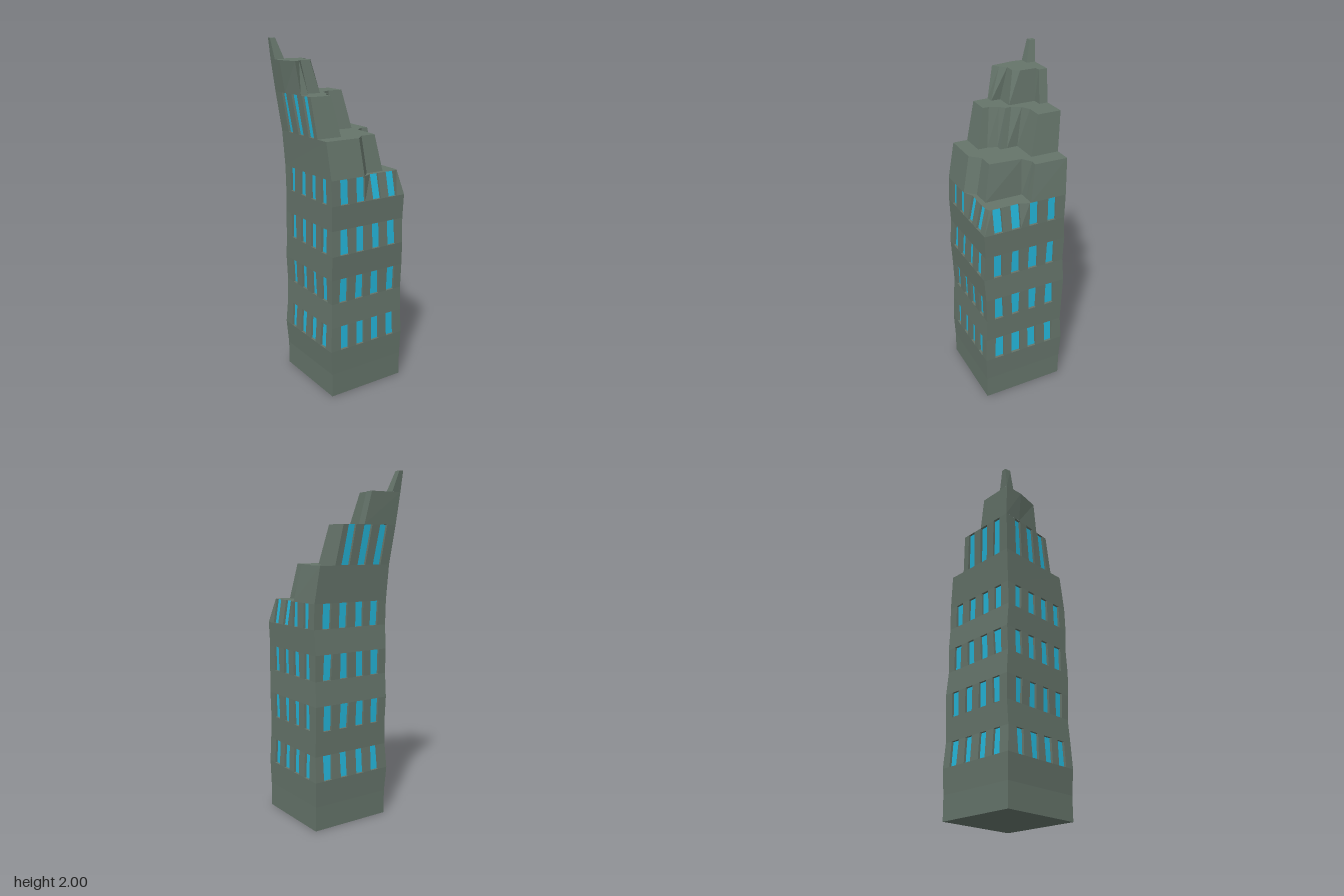
import * as THREE from 'three';

const stone = new THREE.MeshStandardMaterial({ color: 0x65746a, flatShading: true });
stone.name = 'grey green stone';
const glass = new THREE.MeshStandardMaterial({ color: 0x24b4d8, flatShading: true });
glass.name = 'blue glass';

const RECESS = 0.014;

// Small seeded generator for the hand-cut wobble of the windows
let seed = 7;
const wobble = (size) => {
  seed = (seed * 16807) % 2147483647;
  return (seed / 2147483647 - 0.5) * size;
};

const quad = (out, a, b, c, d) => {
  for (const p of [a, b, c, a, c, d]) out.push(p.x, p.y, p.z);
};

const makeMesh = (name, positions, material) => {
  const geometry = new THREE.BufferGeometry();
  geometry.setAttribute('position', new THREE.Float32BufferAttribute(positions, 3));
  geometry.computeVertexNormals();
  const mesh = new THREE.Mesh(geometry, material);
  mesh.name = name;
  return mesh;
};

// Ring of [x, z] points, ordered front, right, back, left, lifted to height y
const ring = (y, points) => points.map(([x, z]) => new THREE.Vector3(x, y, z));

// Wall between two rings; edges listed in windowEdges become recessed windows
function band(walls, panes, low, high, windowEdges = []) {
  low.forEach((a, i) => {
    const j = (i + 1) % low.length;
    const b = low[j], c = high[j], d = high[i];
    if (!windowEdges.includes(i)) return quad(walls, a, b, c, d);
    const inward = new THREE.Vector3(b.z - a.z, 0, a.x - b.x).normalize().multiplyScalar(RECESS);
    const outer = [a, b, c, d];
    const inner = outer.map((p) => p.clone().add(inward));
    quad(panes, ...inner);
    // Sill, jambs and lintel
    outer.forEach((p, k) => {
      const n = (k + 1) % 4;
      quad(walls, p, outer[n], inner[n], inner[k]);
    });
  });
}

// Flat roof or floor over a ring
function cap(walls, points, up = true) {
  const flat = points.map((p) => new THREE.Vector2(p.x, -p.z));
  for (const face of THREE.ShapeUtils.triangulateShape(flat, [])) {
    const order = up ? face : [...face].reverse();
    for (const i of order) walls.push(points[i].x, points[i].y, points[i].z);
  }
}

function createBody(group) {
  const ys = [0, 0.14, 0.285, 0.43, 0.57, 0.715, 0.855, 1.0, 1.14, 1.28];
  const front = [0.28, 0.28, 0.284, 0.28, 0.272, 0.276, 0.284, 0.275, 0.28, 0.275];
  const back = [-0.215, -0.217, -0.225, -0.215, -0.22, -0.225, -0.215, -0.22, -0.21, -0.215];
  const left = [-0.22, -0.22, -0.23, -0.222, -0.216, -0.22, -0.22, -0.218, -0.22, -0.22];
  const right = [0.268, 0.268, 0.272, 0.267, 0.268, 0.27, 0.265, 0.268, 0.272, 0.27];
  const xs = [-0.165, -0.11, -0.058, -0.004, 0.05, 0.105, 0.16, 0.215];
  const zs = [-0.155, -0.105, -0.045, 0.008, 0.062, 0.115, 0.17, 0.222];
  const top = ys.length - 1;

  const rings = ys.map((y, r) => {
    const size = r < 2 || r === top ? 0 : 0.008;
    const frontZ = (x) => (r === top && x > 0.03 ? 0.249 : front[r]);
    const rightX = (z) => (r === top && z > 0.03 ? 0.249 : right[r]);
    const corner = r === top ? [0.245, 0.24] : [right[r], front[r]];
    return ring(y, [
      [left[r], front[r]],
      ...xs.map((x) => [x + wobble(size), frontZ(x)]),
      corner,
      ...[...zs].reverse().map((z) => [rightX(z), z + wobble(size)]),
      [right[r], back[r]],
      ...[...xs].reverse().map((x) => [x + wobble(size), back[r]]),
      [left[r], back[r]],
      ...zs.map((z) => [left[r], z + wobble(size)]),
    ]);
  });

  // Four windows on each of the four sides
  const windowEdges = [];
  for (let side = 0; side < 4; side++) for (const k of [1, 3, 5, 7]) windowEdges.push(side * 9 + k);

  const walls = [], panes = [];
  for (let r = 0; r < top; r++) {
    band(walls, panes, rings[r], rings[r + 1], r >= 2 && r % 2 === 0 ? windowEdges : []);
  }
  cap(walls, rings[0], false);
  cap(walls, rings[top]);
  group.add(makeMesh('mainBody', walls, stone), makeMesh('bodyWindows', panes, glass));
}

function createTier(group, name, y0, y1, low, high, windowEdges) {
  const walls = [], panes = [];
  const bottom = ring(y0, low), top = ring(y1, high);
  band(walls, panes, bottom, top, windowEdges);
  cap(walls, top);
  group.add(makeMesh(name, walls, stone));
  if (panes.length) group.add(makeMesh(name + 'Windows', panes, glass));
}

export function createModel() {
  const group = new THREE.Group();
  group.name = 'steppedTower';
  createBody(group);

  // Setbacks climbing towards the back corner
  createTier(group, 'lowerSetback', 1.28, 1.485,
    [[-0.22, 0.275], [-0.004, 0.275], [0.05, 0.22], [0.16, 0.22], [0.16, 0], [0.215, 0],
      [0.27, 0], [0.27, -0.215], [-0.22, -0.215]],
    [[-0.226, 0.235], [-0.015, 0.235], [0.04, 0.18], [0.13, 0.18], [0.146, -0.005], [0.2, -0.04],
      [0.238, -0.038], [0.243, -0.23], [-0.228, -0.23]]);

  // Middle setback, with three windows on the back and three on the far side
  createTier(group, 'middleSetback', 1.485, 1.705,
    [[-0.226, 0.15], [-0.075, 0.15], [-0.075, 0.095], [-0.058, 0.04], [-0.02, 0.04], [-0.02, 0],
      [-0.02, -0.065], [0.02, -0.065], [0.145, -0.065], [0.145, -0.23],
      [0.105, -0.23], [0.05, -0.23], [-0.004, -0.23], [-0.058, -0.23], [-0.11, -0.23], [-0.165, -0.23],
      [-0.228, -0.23],
      [-0.227, -0.155], [-0.227, -0.105], [-0.227, -0.045], [-0.227, 0.008], [-0.227, 0.062], [-0.226, 0.115]],
    [[-0.237, 0.1], [-0.11, 0.1], [-0.11, 0.065], [-0.087, 0.015], [-0.057, -0.01], [-0.057, -0.045],
      [-0.03, -0.095], [0.02, -0.12], [0.11, -0.12], [0.11, -0.258],
      [0.075, -0.257], [0.025, -0.257], [-0.03, -0.257], [-0.085, -0.257], [-0.14, -0.257], [-0.19, -0.257],
      [-0.25, -0.257],
      [-0.249, -0.185], [-0.248, -0.14], [-0.246, -0.085], [-0.244, -0.03], [-0.241, 0.02], [-0.239, 0.07]],
    [10, 12, 14, 17, 19, 21]);

  createTier(group, 'upperSetback', 1.705, 1.885,
    [[-0.242, 0.01], [-0.195, 0.01], [-0.195, -0.045], [-0.085, -0.045], [-0.085, -0.09], [-0.085, -0.205],
      [-0.03, -0.205], [-0.03, -0.257], [-0.25, -0.257], [-0.249, -0.15]],
    [[-0.254, -0.025], [-0.215, -0.05], [-0.185, -0.085], [-0.125, -0.085], [-0.1, -0.12], [-0.1, -0.215],
      [-0.07, -0.22], [-0.07, -0.27], [-0.268, -0.273], [-0.275, -0.16]]);

  // Pinnacle on the back corner
  createTier(group, 'pinnacle', 1.885, 2,
    [[-0.27, -0.22], [-0.21, -0.22], [-0.21, -0.273], [-0.268, -0.273]],
    [[-0.278, -0.255], [-0.245, -0.255], [-0.245, -0.289], [-0.272, -0.289]]);

  return group;
}
